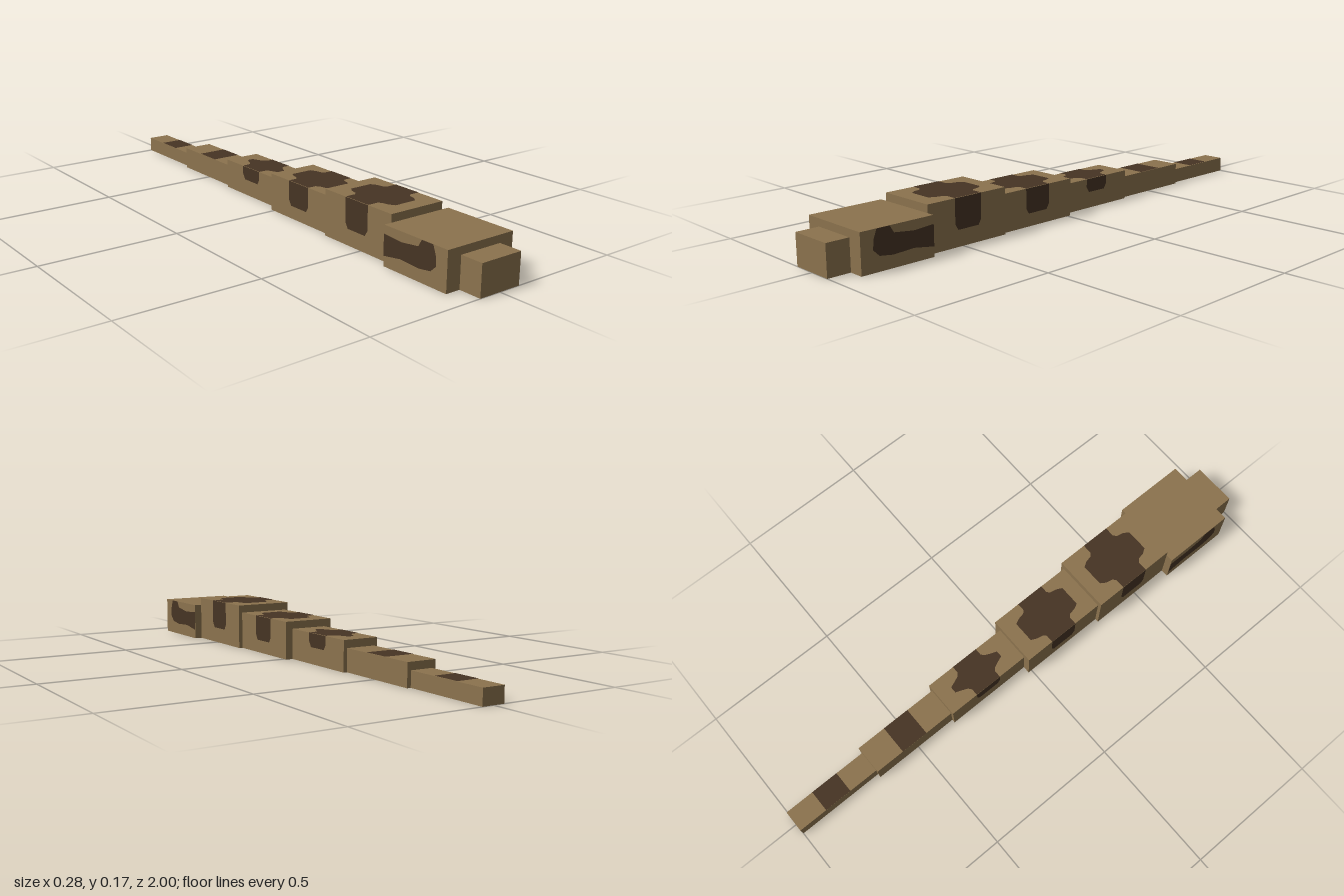
import * as THREE from 'three';

const mat = (name, color) => {
  const m = new THREE.MeshStandardMaterial({ color });
  m.name = name;
  return m;
};

export function createModel() {
  const tan = mat('tan scales', 0x8c734e);
  const brown = mat('dark brown markings', 0x463424);
  const belly = mat('grey belly', 0x858068);
  const model = new THREE.Group();
  model.name = 'snake';
  const LIFT = 0.001; // markings sit just above the skin

  // Block standing on y = 0 between two z values; face 3 is the underside
  function block(name, halfWidth, height, back, front, under) {
    const mesh = new THREE.Mesh(
      new THREE.BoxGeometry(halfWidth * 2, height, front - back),
      [tan, tan, tan, under, tan, tan]);
    mesh.position.set(0, height / 2, (back + front) / 2);
    mesh.name = name;
    model.add(mesh);
  }

  const flat = (points) =>
    new THREE.ShapeGeometry(new THREE.Shape(points.map(([u, v]) => new THREE.Vector2(u, v))));

  // Marking on the back, given as [x, z] points
  function topMark(name, height, points) {
    const geo = flat(points.map(([x, z]) => [x, -z])).rotateX(-Math.PI / 2);
    const mesh = new THREE.Mesh(geo, brown);
    mesh.position.y = height + LIFT;
    mesh.name = name;
    model.add(mesh);
  }

  // Matching markings on both flanks, given as [z, y] points
  function sideMarks(name, halfWidth, points) {
    for (const side of [1, -1]) {
      const geo = flat(points.map(([z, y]) => [-side * z, y])).rotateY(side * Math.PI / 2);
      const mesh = new THREE.Mesh(geo, brown);
      mesh.position.x = side * (halfWidth + LIFT);
      mesh.name = (side > 0 ? 'left' : 'right') + name;
      model.add(mesh);
    }
  }

  // Saddle: a central blotch (half outline as [x, dz]) with arms across the back
  function saddle(name, w, h, z, arm, outline) {
    const quarter = [...outline, [w, arm], [w, 0]];
    const half = [...quarter, ...quarter.slice(0, -1).reverse().map(([x, d]) => [x, -d])];
    const whole = [...half, ...half.slice().reverse().map(([x, d]) => [-x, d])];
    topMark(name, h, whole.map(([x, d]) => [x, z + d]));
  }

  // Head and snout
  block('snout', 0.082, 0.11, 0.917, 1, tan);
  block('head', 0.137, 0.137, 0.643, 0.917, tan);
  sideMarks('CheekMarking', 0.137, [
    [0.858, 0.137], [0.81, 0.137], [0.795, 0.112], [0.72, 0.103], [0.643, 0.108],
    [0.643, 0.035], [0.72, 0.047], [0.80, 0.043], [0.85, 0.05], [0.873, 0.072], [0.87, 0.105],
  ]);

  // Body segments, tapering to the tail: half width, height, back z, front z
  const segments = [
    ['frontBody', 0.109, 0.165, 0.315, 0.643],
    ['middleBody', 0.095, 0.137, -0.014, 0.315],
    ['rearBody', 0.068, 0.11, -0.343, -0.014],
    ['tailBase', 0.055, 0.082, -0.672, -0.343],
    ['tailTip', 0.041, 0.055, -1, -0.672],
  ];
  for (const [name, w, h, back, front] of segments) block(name, w, h, back, front, belly);

  // Saddle markings: width, height, centre z, arm half length, flank bottom, outline
  const saddles = [
    ['frontSaddle', 0.109, 0.165, 0.478, 0.055, 0.058, [[0.042, 0.11], [0.055, 0.09], [0.06, 0.065], [0.072, 0.055]]],
    ['middleSaddle', 0.095, 0.137, 0.15, 0.055, 0.047, [[0.04, 0.11], [0.05, 0.09], [0.055, 0.065], [0.065, 0.055]]],
    ['rearSaddle', 0.068, 0.11, -0.181, 0.053, 0.06, [[0.012, 0.106], [0.022, 0.08], [0.03, 0.062], [0.042, 0.053]]],
  ];
  for (const [name, w, h, z, arm, low, outline] of saddles) {
    saddle(name, w, h, z, arm, outline);
    sideMarks(name + 'Flank', w, [
      [z + arm, h], [z - arm, h], [z - arm, low + 0.02], [z - arm + 0.012, low],
      [z + arm - 0.012, low], [z + arm, low + 0.02],
    ]);
  }

  // Plain bands on the tail
  const band = (name, w, h, z0, z1) => topMark(name, h, [[-w, z0], [w, z0], [w, z1], [-w, z1]]);
  band('tailBaseBand', 0.055, 0.082, -0.56, -0.455);
  band('tailTipBand', 0.041, 0.055, -0.89, -0.785);

  return model;
}
